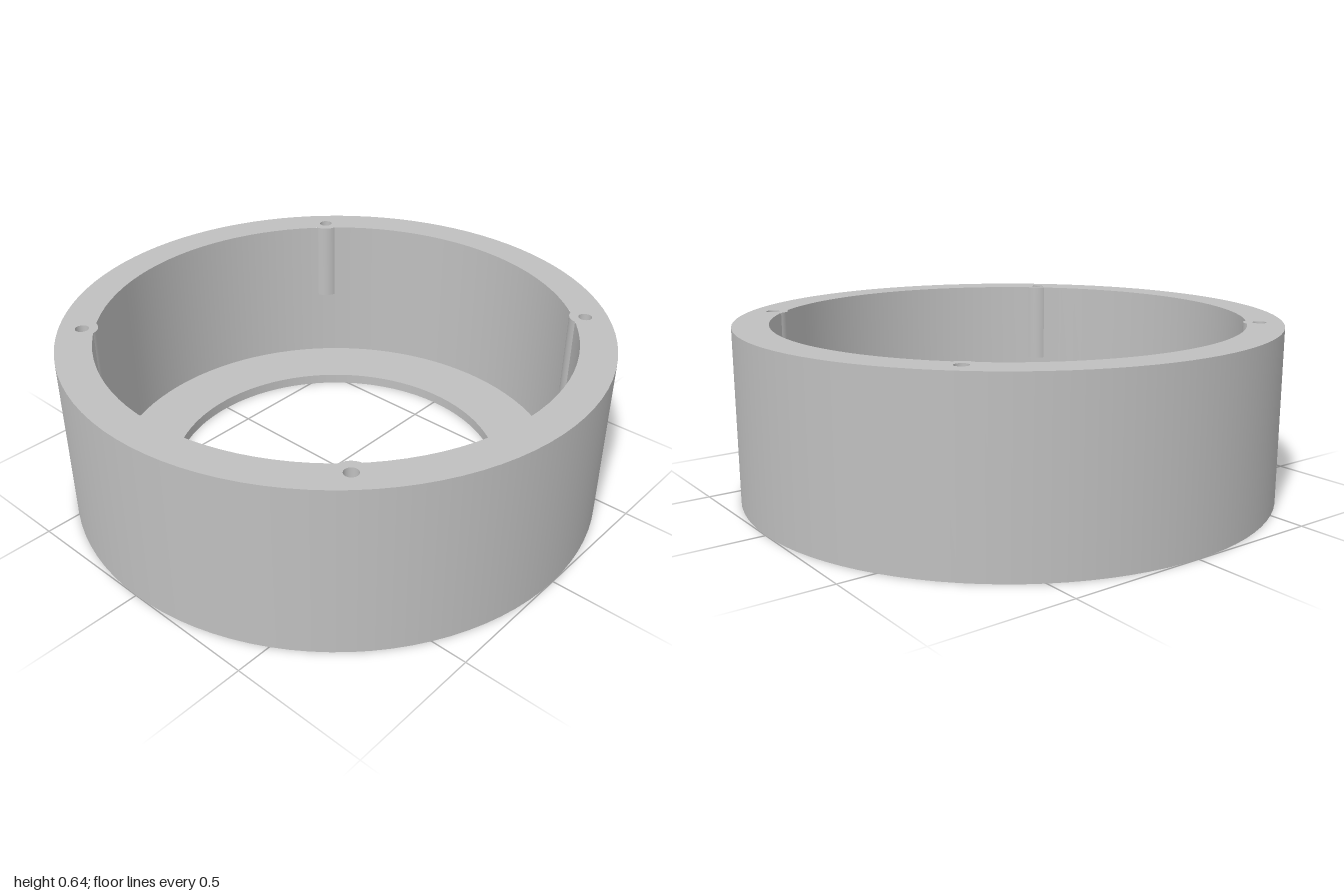
import * as THREE from 'three';

const SEG = 96;
const OUTER = 1, INNER = 0.87, OPENING = 0.63;
const HEIGHT = 0.64, FLOOR = 0.04;
const BOSS_DIST = 0.915, BOSS_R = 0.058, BOSS_BOTTOM = 0.32, HOLE_R = 0.025;

// Half angle of the boss arc that stands proud of the inner wall
const BOSS_ARC = Math.acos(
  (BOSS_DIST ** 2 + BOSS_R ** 2 - INNER ** 2) / (2 * BOSS_DIST * BOSS_R));

// Boss outline as (sideways, radial) points
function bossOutline() {
  const pts = [];
  for (let i = 0; i <= 12; i++) {
    const a = BOSS_ARC * (i / 6 - 1);
    pts.push(new THREE.Vector2(BOSS_R * Math.sin(a), BOSS_DIST - BOSS_R * Math.cos(a)));
  }
  return pts;
}

function circle(r, n, cx = 0, cy = 0) {
  return Array.from({ length: n }, (_, i) => {
    const a = (i / n) * Math.PI * 2;
    return new THREE.Vector2(cx + r * Math.cos(a), cy + r * Math.sin(a));
  });
}

export function createModel() {
  const model = new THREE.Group();
  model.name = 'housingRing';
  const grey = new THREE.MeshStandardMaterial({ color: 0xbfbfbf });
  grey.name = 'grey';

  const add = (name, geometry, parent = model) => {
    const mesh = new THREE.Mesh(geometry, grey);
    mesh.name = name;
    parent.add(mesh);
    return mesh;
  };
  // One straight profile segment turned round the axis, so edges stay sharp
  const turned = (r0, y0, r1, y1, n = SEG) =>
    new THREE.LatheGeometry([new THREE.Vector2(r0, y0), new THREE.Vector2(r1, y1)], n);

  // Cup with an open floor
  add('outerWall', turned(OUTER, 0, OUTER, HEIGHT));
  add('innerWall', turned(INNER, HEIGHT, INNER, FLOOR));
  add('floorTop', turned(INNER, FLOOR, OPENING, FLOOR));
  add('floorOpening', turned(OPENING, FLOOR, OPENING, 0));
  add('underside', turned(OPENING, 0, OUTER, 0));

  // Top rim, bulging inward at the four bosses and pierced by screw holes
  const rim = new THREE.Shape(circle(OUTER, SEG));
  const edge = [];
  circle(INNER, SEG).forEach((p, i) => {
    if (i % 24 !== 12) return edge.push(p);
    const a = (i / SEG) * Math.PI * 2;
    for (const b of bossOutline()) {
      edge.push(new THREE.Vector2(
        b.y * Math.cos(a) - b.x * Math.sin(a),
        b.y * Math.sin(a) + b.x * Math.cos(a)));
    }
  });
  rim.holes.push(new THREE.Path(edge));
  const c = BOSS_DIST * Math.SQRT1_2;
  for (const sx of [-1, 1]) {
    for (const sz of [-1, 1]) {
      rim.holes.push(new THREE.Path(circle(HOLE_R, 24, sx * c, sz * c)));
    }
  }
  add('topRim', new THREE.ShapeGeometry(rim).rotateX(-Math.PI / 2)).position.y = HEIGHT;

  // Screw bosses on the inner wall, each with a blind hole
  const length = HEIGHT - BOSS_BOTTOM;
  const side = new THREE.CylinderGeometry(
    BOSS_R, BOSS_R, length, 12, 1, true, Math.PI - BOSS_ARC, 2 * BOSS_ARC);
  const end = new THREE.ShapeGeometry(new THREE.Shape(bossOutline())).rotateX(Math.PI / 2);
  const holeWall = turned(HOLE_R, HEIGHT, HOLE_R, BOSS_BOTTOM, 24);
  const holeEnd = turned(HOLE_R, BOSS_BOTTOM, 0, BOSS_BOTTOM, 24);
  for (let k = 0; k < 4; k++) {
    const boss = new THREE.Group();
    boss.name = 'screwBoss';
    boss.rotation.y = Math.PI / 4 + (k * Math.PI) / 2;
    add('bossSide', side, boss).position.set(0, BOSS_BOTTOM + length / 2, BOSS_DIST);
    add('bossEnd', end, boss).position.y = BOSS_BOTTOM;
    add('screwHoleWall', holeWall, boss).position.z = BOSS_DIST;
    add('screwHoleEnd', holeEnd, boss).position.z = BOSS_DIST;
    model.add(boss);
  }
  return model;
}
